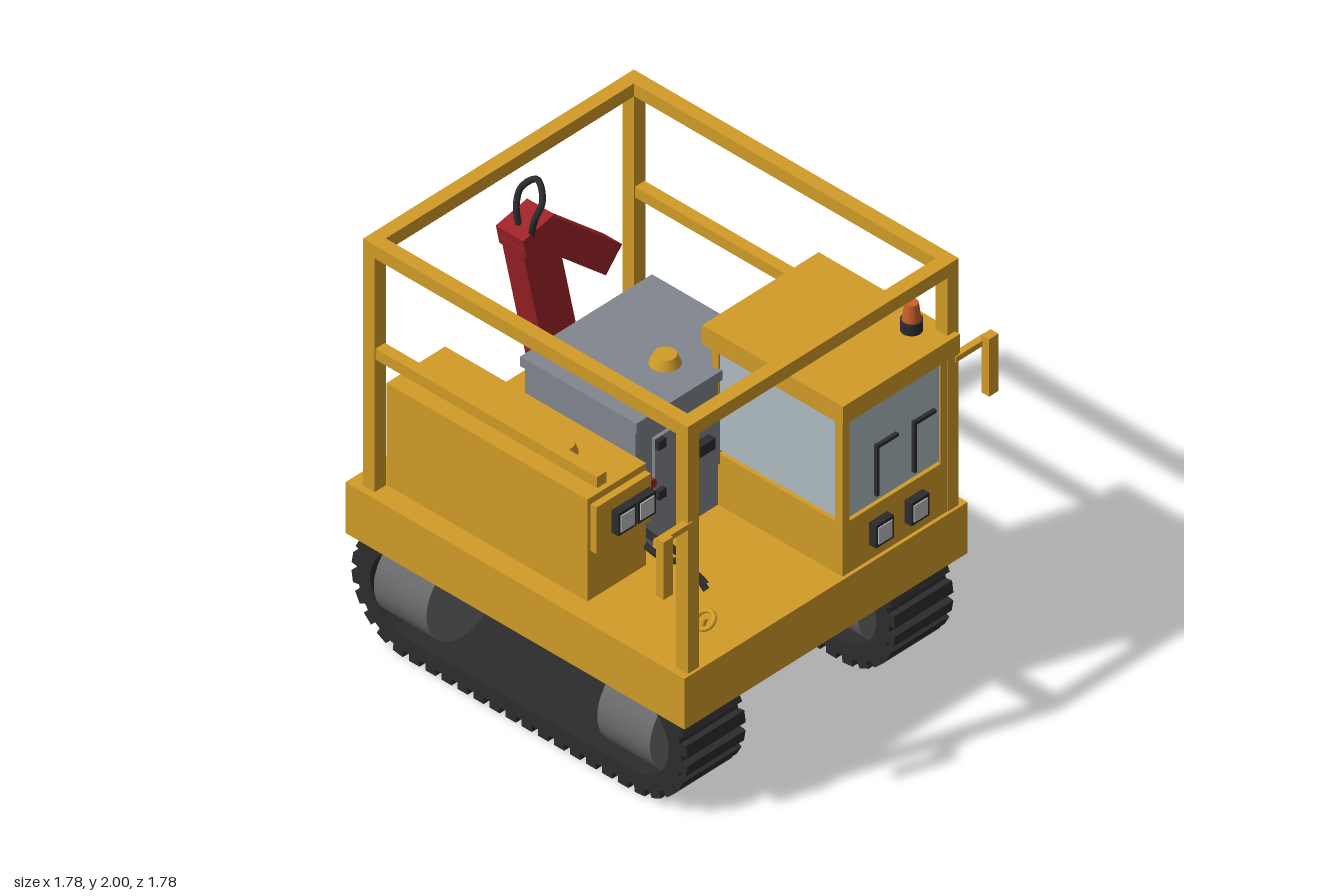
import * as THREE from 'three';

const mat = (color, extra = {}) => new THREE.MeshStandardMaterial({ color, ...extra });
const yellow = mat(0xd19c28), grey = mat(0x82868e), dark = mat(0x2c2c2e), red = mat(0xa02428);
const steel = mat(0x6a6a6c), glass = mat(0xaebcc0), orange = mat(0xc8602a), lens = mat(0xb8bbbd);

export function createModel() {
  const model = new THREE.Group();

  function add(name, geometry, material, parent = model) {
    const mesh = new THREE.Mesh(geometry, material);
    mesh.name = name;
    parent.add(mesh);
    return mesh;
  }
  // Box given by its limits on each axis
  function box(name, material, x0, x1, y0, y1, z0, z1, parent = model) {
    const mesh = add(name, new THREE.BoxGeometry(x1 - x0, y1 - y0, z1 - z0), material, parent);
    mesh.position.set((x0 + x1) / 2, (y0 + y1) / 2, (z0 + z1) / 2);
    return mesh;
  }
  // Upright cylinder or cone standing at height y
  function cyl(name, material, rTop, rBottom, h, x, y, z, parent = model) {
    const mesh = add(name, new THREE.CylinderGeometry(rTop, rBottom, h, 32), material, parent);
    mesh.position.set(x, y + h / 2, z);
    return mesh;
  }
  // Box beam between two points (y, z) in the plane at x
  function beam(name, x, y0, z0, y1, z1, wide, deep, parent) {
    const mesh = add(name, new THREE.BoxGeometry(wide, Math.hypot(y1 - y0, z1 - z0), deep), red, parent);
    mesh.position.set(x, (y0 + y1) / 2, (z0 + z1) / 2);
    mesh.rotation.x = Math.atan2(z1 - z0, y1 - y0);
    return mesh;
  }
  function tube(name, points, radius, parent = model) {
    const curve = new THREE.CatmullRomCurve3(points.map(p => new THREE.Vector3(...p)));
    return add(name, new THREE.TubeGeometry(curve, 40, radius, 10), dark, parent);
  }
  function lamp(name, x, y, z) {
    box(name, dark, x, x + 0.035, y - 0.052, y + 0.052, z - 0.048, z + 0.048);
    box(name + 'Lens', lens, x + 0.03, x + 0.04, y - 0.038, y + 0.038, z - 0.036, z + 0.036);
  }

  // Tracks: stadium belt, tread bars and drums
  const xa = -0.61, xb = 0.55, yc = 0.28, straight = xb - xa;
  const stadium = (path, r) => {
    path.moveTo(xa, yc - r);
    path.lineTo(xb, yc - r);
    path.absarc(xb, yc, r, -Math.PI / 2, Math.PI / 2, false);
    path.lineTo(xa, yc + r);
    path.absarc(xa, yc, r, Math.PI / 2, Math.PI * 1.5, false);
    return path;
  };
  const beltShape = stadium(new THREE.Shape(), 0.25);
  beltShape.holes.push(stadium(new THREE.Path(), 0.184));
  const beltGeometry = new THREE.ExtrudeGeometry(beltShape, { depth: 0.31, bevelEnabled: false, curveSegments: 24 });
  const treadGeometry = new THREE.BoxGeometry(0.052, 0.04, 0.31);
  for (const side of [1, -1]) {
    const track = new THREE.Group();
    track.name = side > 0 ? 'frontTrack' : 'backTrack';
    track.position.z = side * 0.552;
    model.add(track);
    add('belt', beltGeometry, dark, track).position.z = -0.155;
    const r = 0.26, arc = Math.PI * r, total = 2 * (straight + arc), count = 48;
    for (let i = 0; i < count; i++) {
      const s = (i + 0.5) * total / count, half = s % (total / 2), second = s >= total / 2;
      const a = half < straight ? 0 : (half - straight) / r;
      const dx = -straight / 2 + Math.min(half, straight) + r * Math.sin(a), dy = -r * Math.cos(a);
      const tread = add('tread', treadGeometry, dark, track), flip = second ? -1 : 1;
      tread.position.set((xa + xb) / 2 + flip * dx, yc + flip * dy, 0);
      tread.rotation.z = a + (second ? Math.PI : 0);
    }
    for (const x of [-0.605, 0.54]) {
      const drum = add('drum', new THREE.CylinderGeometry(0.193, 0.193, 0.27, 40), steel, track);
      drum.rotation.z = Math.PI / 2;
      drum.position.set(x, 0.288, 0);
    }
  }

  // Chassis and deck
  box('chassis', yellow, -0.77, 0.705, 0.365, 0.47, -0.367, 0.367);
  box('deck', yellow, -0.88, 0.857, 0.465, 0.7, -0.755, 0.75);

  // Protective frame
  for (const [x0, x1] of [[-0.82, -0.76], [0.785, 0.845]]) {
    for (const z of [-0.72, 0.66]) box('framePost', yellow, x0, x1, 0.7, 1.79, z, z + 0.06);
    box('frameCrossBar', yellow, x0, x1, 1.78, 1.84, -0.66, 0.66);
  }
  for (const z of [-0.72, 0.66]) {
    box('frameLongBar', yellow, -0.82, 0.845, 1.78, 1.84, z, z + 0.06);
    box('guardRail', yellow, -0.76, 0.375, 1.31, 1.36, z + 0.005, z + 0.055);
  }

  // Mirrors
  for (const s of [1, -1]) {
    const [a, b] = s > 0 ? [0.7, 0.88] : [-0.88, -0.7], [c, d] = s > 0 ? [0.84, 0.89] : [-0.89, -0.84];
    box('mirrorArm', yellow, 0.82, 0.85, 1.37, 1.395, a, b);
    box('mirror', yellow, 0.845, 0.885, 1.155, 1.42, c, d);
  }

  // Tank housing with lamps and filler cap
  box('tankHousing', yellow, -0.76, 0.27, 0.7, 1.17, 0.345, 0.657);
  box('lampPanel', yellow, 0.27, 0.3, 0.925, 1.14, 0.35, 0.64);
  lamp('tankLamp', 0.3, 1.033, 0.512);
  lamp('tankLamp', 0.3, 1.033, 0.408);
  cyl('tankCap', yellow, 0.045, 0.058, 0.04, 0, 1.17, 0.507);

  // Engine cabinet
  box('engineCabinet', grey, -0.36, 0.205, 0.7, 1.29, -0.345, 0.335);
  box('engineLid', grey, -0.375, 0.22, 1.28, 1.325, -0.355, 0.345);
  cyl('engineCap', yellow, 0.045, 0.062, 0.04, 0.035, 1.325, 0);
  box('hatch', grey, 0.2, 0.22, 0.9, 1.2, -0.1, 0.245);
  box('hatchHandle', dark, 0.22, 0.255, 1.02, 1.07, -0.04, 0.04);
  for (const y of [0.945, 1.175]) box('hinge', dark, 0.21, 0.24, y - 0.02, y + 0.02, 0.205, 0.245);
  const button = cyl('stopButton', red, 0.023, 0.023, 0.06, 0.23, 1.01, 0.3);
  button.rotation.z = Math.PI / 2;
  for (const x of [-0.23, -0.135, -0.04]) box('vent', dark, x - 0.02, x + 0.02, 0.95, 1.2, -0.358, -0.34);

  // Cab: base, corner pillars, windows and roof
  box('cabBase', yellow, 0.17, 0.842, 0.7, 0.938, -0.662, -0.105);
  for (const x of [0.17, 0.805]) for (const z of [-0.662, -0.142])
    box('cabPillar', yellow, x, x + 0.037, 0.93, 1.43, z, z + 0.037);
  box('cabRoof', yellow, 0.147, 0.87, 1.425, 1.513, -0.7, -0.08);
  for (const z of [-0.655, -0.124]) box('sideWindow', glass, 0.207, 0.805, 0.95, 1.408, z, z + 0.012);
  for (const x of [0.178, 0.824]) box('endWindow', glass, x, x + 0.012, 0.95, 1.408, -0.625, -0.142);
  for (const z of [-0.285, -0.485]) {
    box('wiperArm', dark, 0.836, 0.852, 0.98, 1.215, z - 0.007, z + 0.007);
    box('wiperBlade', dark, 0.836, 0.852, 1.198, 1.212, z - 0.11, z);
  }
  lamp('cabLamp', 0.842, 0.823, -0.295);
  lamp('cabLamp', 0.842, 0.823, -0.483);

  // Warning beacon
  cyl('beaconBase', dark, 0.043, 0.043, 0.05, 0.722, 1.513, -0.597);
  cyl('beaconLight', orange, 0.027, 0.037, 0.075, 0.722, 1.563, -0.597);

  // Folded crane
  const crane = new THREE.Group();
  crane.name = 'crane';
  model.add(crane);
  box('cranePlate', red, -0.66, -0.375, 0.7, 0.735, -0.15, 0.14, crane);
  cyl('craneColumn', red, 0.1, 0.11, 0.24, -0.515, 0.735, 0, crane);
  const pivot = cyl('cranePivot', red, 0.095, 0.095, 0.15, -0.513, 0.925, 0, crane);
  pivot.rotation.z = Math.PI / 2;
  beam('mainBoom', -0.512, 0.98, 0, 1.74, 0.163, 0.11, 0.175, crane);
  beam('boomHead', -0.515, 1.7, 0.155, 1.79, 0.174, 0.14, 0.17, crane);
  beam('foldedArm', -0.515, 1.73, 0.12, 1.4, -0.25, 0.094, 0.13, crane);
  tube('hoistLoop', [[-0.52, 1.76, 0.2], [-0.535, 1.86, 0.2], [-0.535, 1.93, 0.175], [-0.475, 1.985, 0.15],
    [-0.42, 1.93, 0.18], [-0.425, 1.86, 0.215], [-0.46, 1.76, 0.2]], 0.013, crane);

  // Hoses and towing eye
  tube('hose', [[0.2, 0.86, 0.335], [0.28, 0.835, 0.335], [0.38, 0.84, 0.335], [0.47, 0.81, 0.335], [0.57, 0.735, 0.335]], 0.013);
  tube('hose', [[0.2, 0.8, 0.345], [0.28, 0.785, 0.345], [0.36, 0.775, 0.345], [0.45, 0.805, 0.345], [0.52, 0.795, 0.345], [0.58, 0.77, 0.345]], 0.013);
  const eye = add('towingEye', new THREE.TorusGeometry(0.038, 0.01, 10, 32), yellow);
  eye.position.set(0.722, 0.768, 0.502);
  eye.rotation.x = -0.95;
  tube('eyeStem', [[0.69, 0.7, 0.48], [0.69, 0.725, 0.475], [0.7, 0.75, 0.47]], 0.01).material = yellow;

  return model;
}
